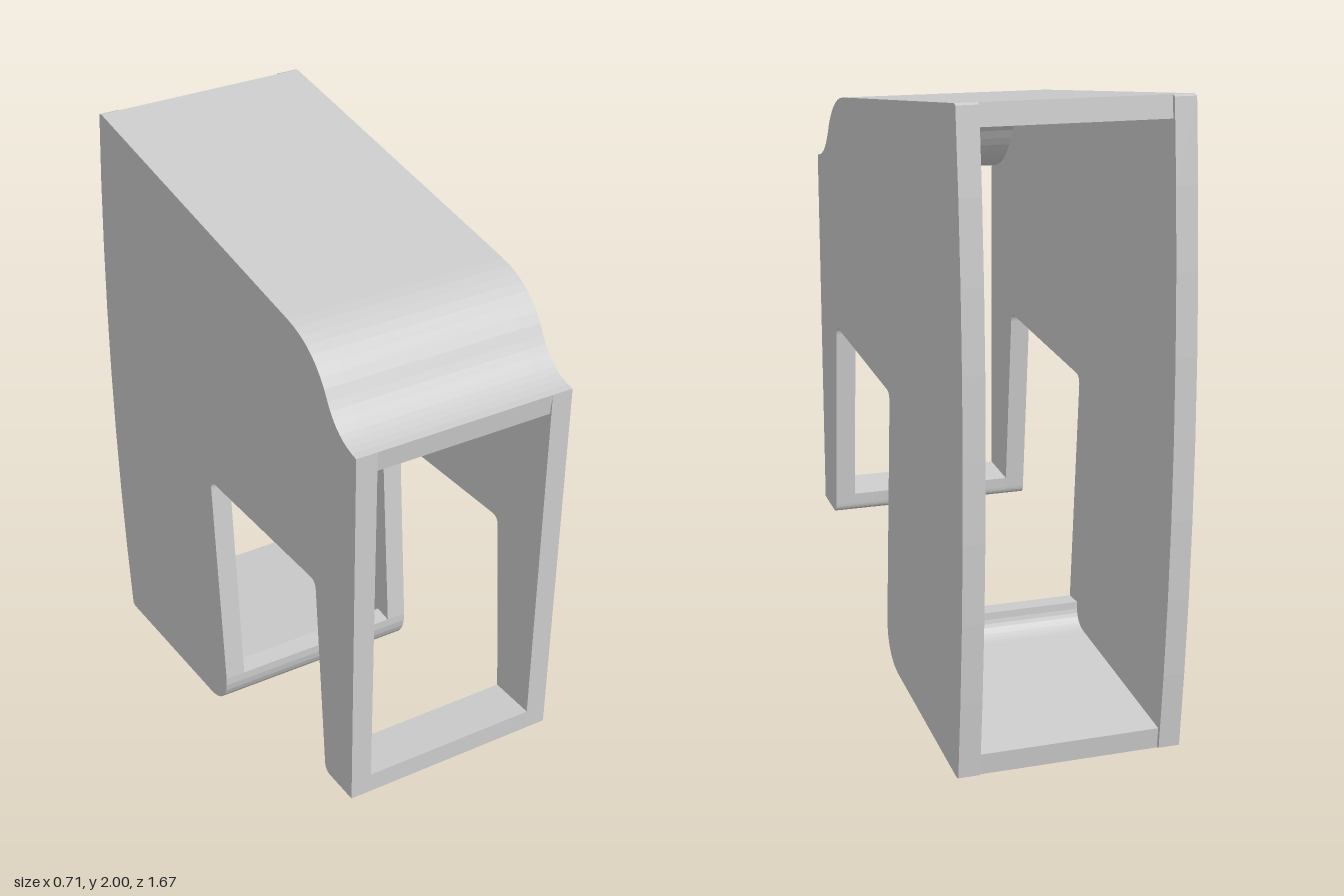
import * as THREE from 'three';

const HALF = 0.356;  // half of the overall width
const WALL = 0.068;  // shell thickness
const SEG = 8;       // segments per curve

// Profiles are drawn as (z, y), then extruded across x and centred on it.
function extrudeAcross(name, shape, width, x, material) {
  const geo = new THREE.ExtrudeGeometry(shape, { depth: width, bevelEnabled: false, curveSegments: SEG });
  geo.translate(0, 0, -width / 2);
  geo.rotateY(-Math.PI / 2);
  const mesh = new THREE.Mesh(geo, material);
  mesh.name = name;
  mesh.position.x = x;
  return mesh;
}

// Roof line from the front lip, over the S-curve, to the back edge
function drawRoof(path) {
  path.quadraticCurveTo(0.735, 1.64, 0.68, 1.73);
  path.quadraticCurveTo(0.61, 1.86, 0.46, 1.876);
  path.lineTo(-0.765, 2.0);
  path.lineTo(-0.779, 1.995);
}

// Floor line from the rounded toe of the rear leg to the back edge
function drawFloor(path) {
  path.bezierCurveTo(0.0, 0.13, -0.055, 0.076, -0.13, 0.068);
  path.lineTo(-0.765, 0);
  path.lineTo(-0.779, 0.005);
}

// Closed band of wall thickness along an open path; side = +1 or -1
function band(path, side) {
  const pts = path.getPoints(SEG);
  pts.pop();
  const inner = pts.map((p, i) => {
    const a = pts[Math.max(i - 1, 0)], b = pts[Math.min(i + 1, pts.length - 1)];
    const t = b.clone().sub(a).normalize();
    return new THREE.Vector2(p.x - t.y * WALL * side, p.y + t.x * WALL * side);
  });
  return new THREE.Shape([...pts, ...inner.reverse()]);
}

export function createModel() {
  const group = new THREE.Group();
  group.name = 'openShellHousing';
  const material = new THREE.MeshStandardMaterial({ color: 0xcccccc });

  // Side plates: full silhouette with the notch between the legs
  const side = new THREE.Shape();
  side.moveTo(0.835, 1.635);
  drawRoof(side);
  side.quadraticCurveTo(-0.888, 1.0, -0.779, 0.005);
  side.lineTo(-0.765, 0);
  side.lineTo(-0.13, 0.068);
  side.bezierCurveTo(-0.055, 0.076, 0.0, 0.13, -0.005, 0.215);
  side.lineTo(-0.068, 0.97);
  side.quadraticCurveTo(-0.071, 1.005, -0.038, 1.008);
  side.lineTo(0.583, 1.062);
  side.quadraticCurveTo(0.61, 1.064, 0.614, 1.035);
  side.lineTo(0.672, 0.39);
  side.quadraticCurveTo(0.675, 0.358, 0.705, 0.361);
  side.lineTo(0.835, 0.372);
  side.closePath();
  for (const s of [1, -1]) {
    group.add(extrudeAcross(s > 0 ? 'leftSide' : 'rightSide', side, WALL, s * (HALF - WALL / 2), material));
  }

  const span = 2 * (HALF - WALL);

  // Roof panel
  const roof = new THREE.Path();
  roof.moveTo(0.835, 1.635);
  drawRoof(roof);
  group.add(extrudeAcross('roof', band(roof, 1), span, 0, material));

  // Floor of the rear leg with its upturned toe
  const floor = new THREE.Path();
  floor.moveTo(-0.005, 0.215);
  drawFloor(floor);
  group.add(extrudeAcross('rearLegFloor', band(floor, -1), span, 0, material));

  // Cross bar under the front leg
  const bar = new THREE.Shape();
  bar.moveTo(0.835, 0.372);
  bar.lineTo(0.835, 0.44);
  bar.lineTo(0.669, 0.426);
  bar.lineTo(0.672, 0.39);
  bar.quadraticCurveTo(0.675, 0.358, 0.705, 0.361);
  bar.closePath();
  group.add(extrudeAcross('frontLegBar', bar, span, 0, material));

  return group;
}
